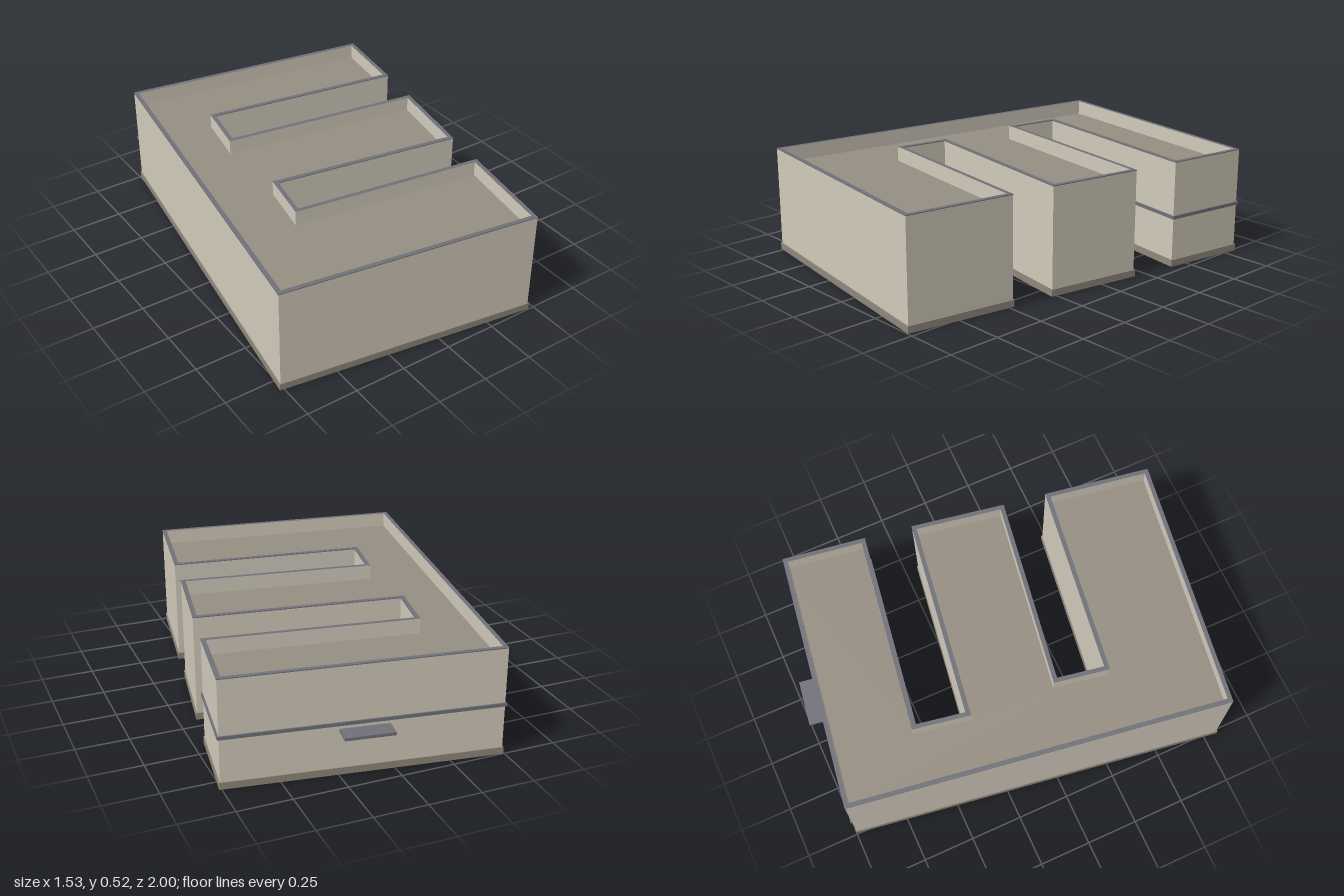
import * as THREE from 'three';

const mat = (name, color, side = THREE.FrontSide) => {
  const m = new THREE.MeshStandardMaterial({ color, side });
  m.name = name;
  return m;
};

// E-shaped footprint as [x, z]; each edge keeps the outside on the same hand
const OUTLINE = [
  [-0.49, -0.995], [0.756, -0.812], [0.697, -0.413], [-0.262, -0.558],
  [-0.304, -0.325], [0.661, -0.183], [0.582, 0.268], [-0.327, 0.125],
  [-0.367, 0.35], [0.551, 0.478], [0.468, 0.993], [-0.764, 0.812],
];
const HEIGHT = 0.515, ROOF = 0.445, PARAPET = 0.02, PLINTH = 0.033;
const FLOORS = [0.11, 0.355];

// Length, midpoint and outward normal of every edge
function edgesOf(points) {
  return points.map(([x, z], i) => {
    const [x2, z2] = points[(i + 1) % points.length];
    const length = Math.hypot(x2 - x, z2 - z);
    return { length, x: (x + x2) / 2, z: (z + z2) / 2, nx: (z2 - z) / length, nz: (x - x2) / length };
  });
}

// Move the outline outward (positive) or inward (negative)
function offset(points, d) {
  const edges = edgesOf(points);
  return points.map(([x, z], i) => {
    const a = edges[(i + edges.length - 1) % edges.length], b = edges[i];
    const k = d / (1 + a.nx * b.nx + a.nz * b.nz);
    return [x + k * (a.nx + b.nx), z + k * (a.nz + b.nz)];
  });
}

const toVectors = (points) => points.map(([x, z]) => new THREE.Vector2(x, -z));

// Flat slab over a footprint, with an optional hole
function slab(outer, inner, y0, y1) {
  const shape = new THREE.Shape(toVectors(outer));
  if (inner) shape.holes.push(new THREE.Path(toVectors(inner)));
  return new THREE.ExtrudeGeometry(shape, { depth: y1 - y0, bevelEnabled: false })
    .rotateX(-Math.PI / 2).translate(0, y0, 0);
}

export function createModel() {
  const model = new THREE.Group();
  model.name = 'building';

  const wallMat = mat('beige wall', 0xd2cabb, THREE.DoubleSide);
  const roofMat = mat('grey brown roof', 0x968e82);
  const plinthMat = mat('dark plinth', 0x8f877a);
  const trimMat = mat('slate trim', 0x70707a);
  const glassMat = mat('blue glass', 0x4a6182);
  const frameMat = mat('pale window frame', 0xd8d4c8);

  const add = (parent, name, geometry, material, x = 0, y = 0, z = 0) => {
    const mesh = new THREE.Mesh(geometry, material);
    mesh.name = name;
    mesh.position.set(x, y, z);
    parent.add(mesh);
    return mesh;
  };

  // A group on an edge, with local +z pointing out of the building
  const facade = (edge, name) => {
    const group = new THREE.Group();
    group.name = name;
    group.position.set(edge.x, 0, edge.z);
    group.rotation.y = Math.atan2(edge.nx, edge.nz);
    model.add(group);
    return group;
  };

  // Roof, parapet cap and plinth
  const inset = offset(OUTLINE, -PARAPET);
  add(model, 'roof', slab(offset(OUTLINE, -0.001), null, ROOF - 0.005, ROOF), roofMat);
  add(model, 'parapetCap', slab(offset(OUTLINE, 0.001), inset, HEIGHT - 0.003, HEIGHT + 0.001), trimMat);
  add(model, 'plinth', slab(offset(OUTLINE, 0.005), offset(OUTLINE, 0.0005), 0, PLINTH), plinthMat);

  // Inner faces of the parapet
  for (const edge of edgesOf(inset)) {
    const h = HEIGHT - ROOF;
    add(facade(edge, 'parapet'), 'parapetInside', new THREE.PlaneGeometry(edge.length, h), wallMat, 0, ROOF + h / 2, 0);
  }

  // Walls, with windows set on their inner side
  edgesOf(OUTLINE).forEach((edge, i) => {
    const group = facade(edge, 'facade');
    const main = i < 3;
    add(group, 'wall', new THREE.PlaneGeometry(edge.length, HEIGHT), wallMat, 0, HEIGHT / 2, 0);

    const [w, h] = main ? [0.11, 0.1] : [0.065, 0.075];
    const count = Math.floor(edge.length / (main ? 0.24 : 0.3));
    for (let c = 0; c < count; c++) {
      const x = ((c + 0.5) / count - 0.5) * edge.length;
      for (const y of FLOORS) {
        add(group, 'windowFrame', new THREE.BoxGeometry(w, h, 0.02), frameMat, x, y, -0.011);
        add(group, 'windowPane', new THREE.BoxGeometry(w - 0.006, h - 0.006, 0.004), glassMat, x, y, -0.022);
      }
    }

    // Belt course around the main wing
    if (main) add(group, 'beltCourse', new THREE.BoxGeometry(edge.length + 0.014, 0.016, 0.007), trimMat, 0, 0.245, 0.0036);
    // Entrance canopy
    if (i === 0) add(group, 'canopy', new THREE.BoxGeometry(0.225, 0.014, 0.085), trimMat, 0, 0.213, 0.0425);
  });

  return model;
}
